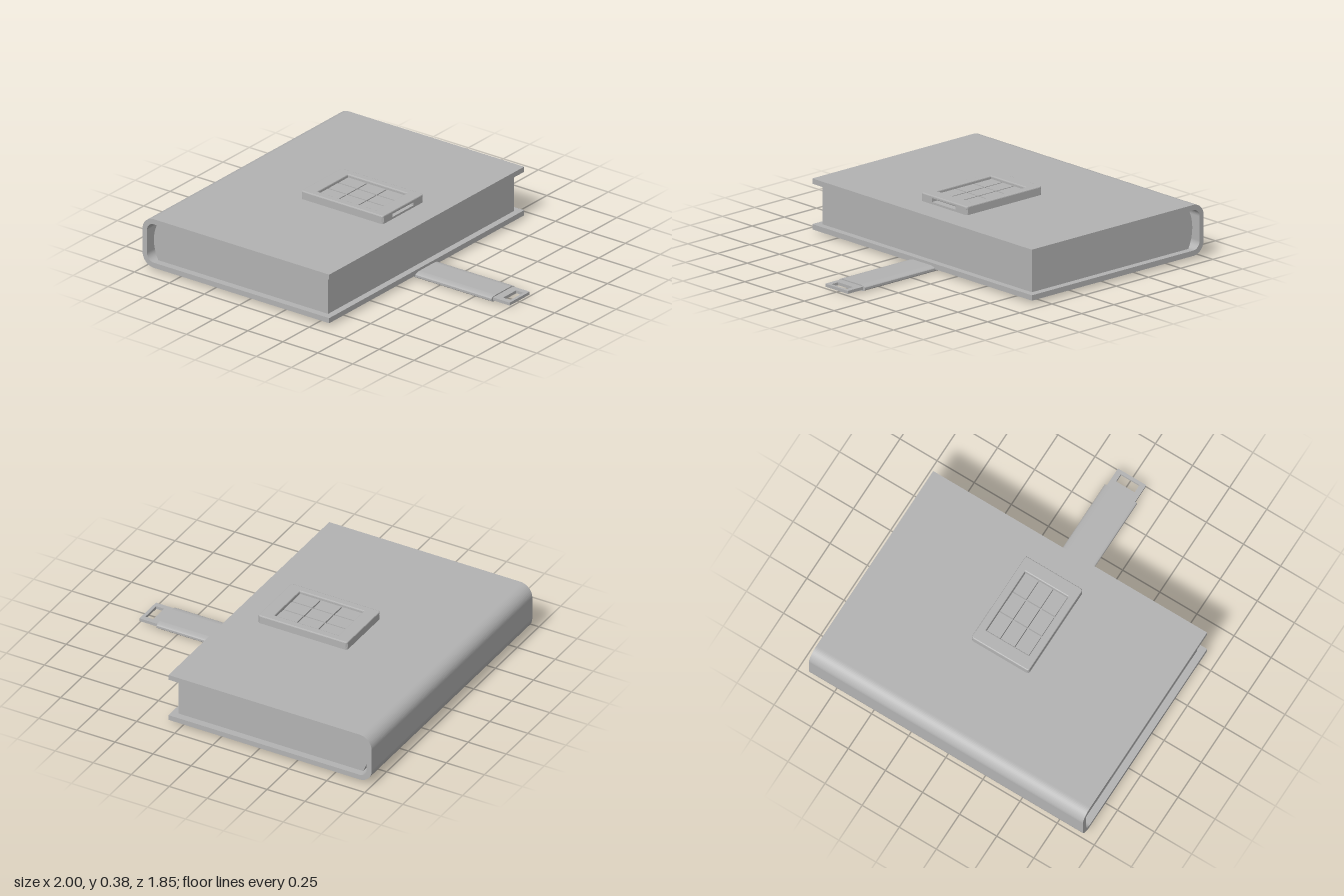
import * as THREE from 'three';

const grey = new THREE.MeshStandardMaterial({ color: 0xb3b3b3 });
grey.name = 'grey';

// Rectangle with rounded corners, centred on (cx, cy)
function roundedRect(Type, cx, cy, w, h, r) {
  const s = new Type(), x = w / 2 - r, y = h / 2 - r;
  s.absarc(cx + x, cy + y, r, 0, Math.PI / 2);
  s.absarc(cx - x, cy + y, r, Math.PI / 2, Math.PI);
  s.absarc(cx - x, cy - y, r, Math.PI, Math.PI * 1.5);
  s.absarc(cx + x, cy - y, r, Math.PI * 1.5, Math.PI * 2);
  s.closePath();
  return s;
}

function extrude(shape, depth, extra = {}) {
  return new THREE.ExtrudeGeometry(shape, { depth, bevelEnabled: false, curveSegments: 8, ...extra });
}

// Plan shape raised from y0 to y1
function slab(shape, y0, y1, bevel = 0) {
  const extra = bevel ? { bevelEnabled: true, bevelSize: bevel, bevelThickness: bevel, bevelOffset: -bevel, bevelSegments: 2 } : {};
  const g = extrude(shape, y1 - y0 - 2 * bevel, extra);
  return g.rotateX(-Math.PI / 2).translate(0, y0 + bevel, 0);
}

export function createModel() {
  const model = new THREE.Group();
  model.name = 'claspedBook';
  const add = (name, geometry, parent = model) => {
    const mesh = new THREE.Mesh(geometry, grey);
    mesh.name = name;
    parent.add(mesh);
    return mesh;
  };

  // Wrapped cover with rounded spine, open at the fore edge
  const y0 = 0.02, y1 = 0.325, t = 0.032, r = 0.08, ri = r - t, x1 = 0.335, P = Math.PI;
  const cover = new THREE.Shape();
  cover.moveTo(x1, y0);
  cover.lineTo(x1, y0 + t);
  cover.absarc(-1 + r, y0 + r, ri, -P / 2, -P, true);
  cover.absarc(-1 + r, y1 - r, ri, P, P / 2, true);
  cover.lineTo(x1, y1 - t);
  cover.lineTo(x1, y1);
  cover.absarc(-1 + r, y1 - r, r, P / 2, P);
  cover.absarc(-1 + r, y0 + r, r, P, P * 1.5);
  cover.closePath();
  add('cover', extrude(cover, 1.846).translate(0, 0, -0.923));

  // Page block, bulging towards the spine
  const pages = new THREE.Shape();
  pages.moveTo(0.295, y0 + t);
  pages.lineTo(0.295, y1 - t);
  pages.lineTo(-0.92, y1 - t);
  pages.quadraticCurveTo(-0.983, (y0 + y1) / 2, -0.92, y0 + t);
  pages.closePath();
  add('pages', extrude(pages, 1.76).translate(0, 0, -0.88));

  // Clasp plate: base, slotted middle and bevelled rim
  const clasp = new THREE.Group();
  clasp.name = 'claspPlate';
  model.add(clasp);
  const cx = -0.127, w = 0.586, d = 0.386;
  const hole = { x0: -0.337, x1: 0.083, z: 0.145 };
  const window_ = () => roundedRect(THREE.Path, (hole.x0 + hole.x1) / 2, 0, hole.x1 - hole.x0, hole.z * 2, 0.003);
  add('claspBase', slab(roundedRect(THREE.Shape, cx, 0, w, d, 0.015), 0.32, 0.338), clasp);

  const middle = roundedRect(THREE.Shape, cx, 0, w, d, 0.015);
  const right = cx + w / 2, left = cx - w / 2, h = d / 2;
  middle.curves = [];
  [[right, 0.1], [right, h - 0.01], [right - 0.01, h], [left + 0.01, h], [left, h - 0.01],
    [left, -h + 0.01], [left + 0.01, -h], [right - 0.01, -h], [right, -h + 0.01], [right, -0.1],
    [hole.x1 + 0.01, -0.1], [hole.x1 + 0.01, 0.1]]
    .forEach(([x, z], i) => (i ? middle.lineTo(x, z) : middle.moveTo(x, z)));
  middle.closePath();
  middle.holes.push(window_());
  add('claspSlotLayer', slab(middle, 0.338, 0.361), clasp);

  const rim = roundedRect(THREE.Shape, cx, 0, w, d, 0.015);
  rim.holes.push(window_());
  add('claspRim', slab(rim, 0.355, 0.376, 0.006), clasp);

  // Three by three tiles inside the recess
  const gap = 0.008, tw = (hole.x1 - hole.x0) / 3, td = hole.z * 2 / 3;
  for (let i = 0; i < 3; i++) {
    for (let j = 0; j < 3; j++) {
      const tile = add('claspTile', new THREE.BoxGeometry(tw - gap, 0.024, td - gap), clasp);
      tile.position.set(hole.x0 + (i + 0.5) * tw, 0.348, -hole.z + (j + 0.5) * td);
    }
  }

  // Strap with softly rounded edges
  const section = new THREE.Shape();
  section.moveTo(-0.108, 0.012);
  section.quadraticCurveTo(-0.106, 0.003, -0.07, 0);
  section.lineTo(0.07, 0);
  section.quadraticCurveTo(0.106, 0.003, 0.108, 0.012);
  section.lineTo(0.108, 0.024);
  section.quadraticCurveTo(0.106, 0.033, 0.07, 0.036);
  section.lineTo(-0.07, 0.036);
  section.quadraticCurveTo(-0.106, 0.033, -0.108, 0.024);
  section.closePath();
  add('strap', extrude(section, 0.69).rotateY(Math.PI / 2).translate(0.19, 0, 0));

  // Tongue with a catch opening
  const tongue = roundedRect(THREE.Shape, 0.925, 0, 0.15, 0.19, 0.004);
  tongue.holes.push(roundedRect(THREE.Path, 0.954, 0, 0.052, 0.125, 0.002));
  add('strapTongue', slab(tongue, 0.011, 0.029));

  return model;
}
